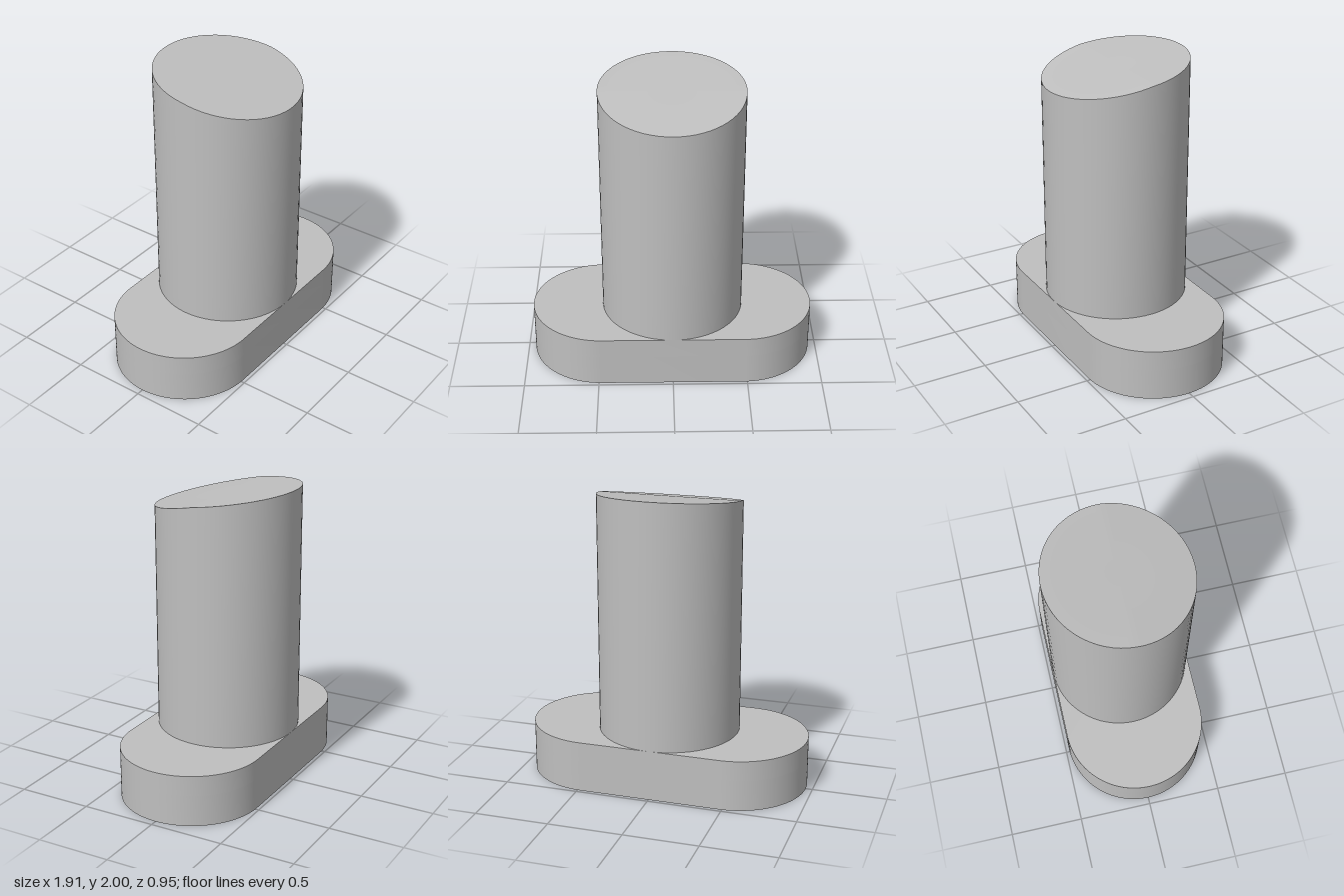
import * as THREE from 'three';
import { toCreasedNormals } from 'three/addons/utils/BufferGeometryUtils.js';

const R = 0.477;          // post radius and rounded end radius
const BASE_H = 0.345;     // base plate height
const HOLE_DEPTH = 0.21;  // blind holes, open underneath
const HOLE_R = 0.213;
const HOLE_X = 0.55;

// Plan outline of the base: two half circles joined by straight sides
function stadium() {
  const s = new THREE.Shape();
  s.absarc(R, 0, R, -Math.PI / 2, Math.PI / 2, false);
  s.absarc(-R, 0, R, Math.PI / 2, Math.PI * 1.5, false);
  s.closePath();
  return s;
}

// Extrude a plan shape upwards from height y
function slab(shape, y, height) {
  const g = new THREE.ExtrudeGeometry(shape, { depth: height, bevelEnabled: false, curveSegments: 32 });
  g.rotateX(-Math.PI / 2);
  g.translate(0, y, 0);
  return toCreasedNormals(g, 0.5);
}

export function createModel() {
  const group = new THREE.Group();
  const grey = new THREE.MeshStandardMaterial({ color: 0xbfbfbf });
  grey.name = 'grey';

  const add = (name, geometry) => {
    const mesh = new THREE.Mesh(geometry, grey);
    mesh.name = name;
    group.add(mesh);
  };

  // Lower base layer, pierced by the two holes
  const pierced = stadium();
  for (const side of [-1, 1]) {
    const hole = new THREE.Path();
    hole.absarc(side * HOLE_X, 0, HOLE_R, 0, Math.PI * 2, true);
    pierced.holes.push(hole);
  }
  add('baseLower', slab(pierced, 0, HOLE_DEPTH));

  // Upper base layer closes the holes
  add('baseUpper', slab(stadium(), HOLE_DEPTH, BASE_H - HOLE_DEPTH));

  // Round post, its top cut by two slopes meeting along z = 0
  const post = new THREE.CylinderGeometry(R, R, 1, 64);
  const p = post.attributes.position;
  for (let i = 0; i < p.count; i++) {
    const z = p.getZ(i);
    const top = 1.938 - z * (z > 0 ? 0.098 : 0.062) / R;
    p.setY(i, p.getY(i) > 0 ? top : BASE_H);
  }
  add('post', toCreasedNormals(post, 0.5));

  return group;
}
